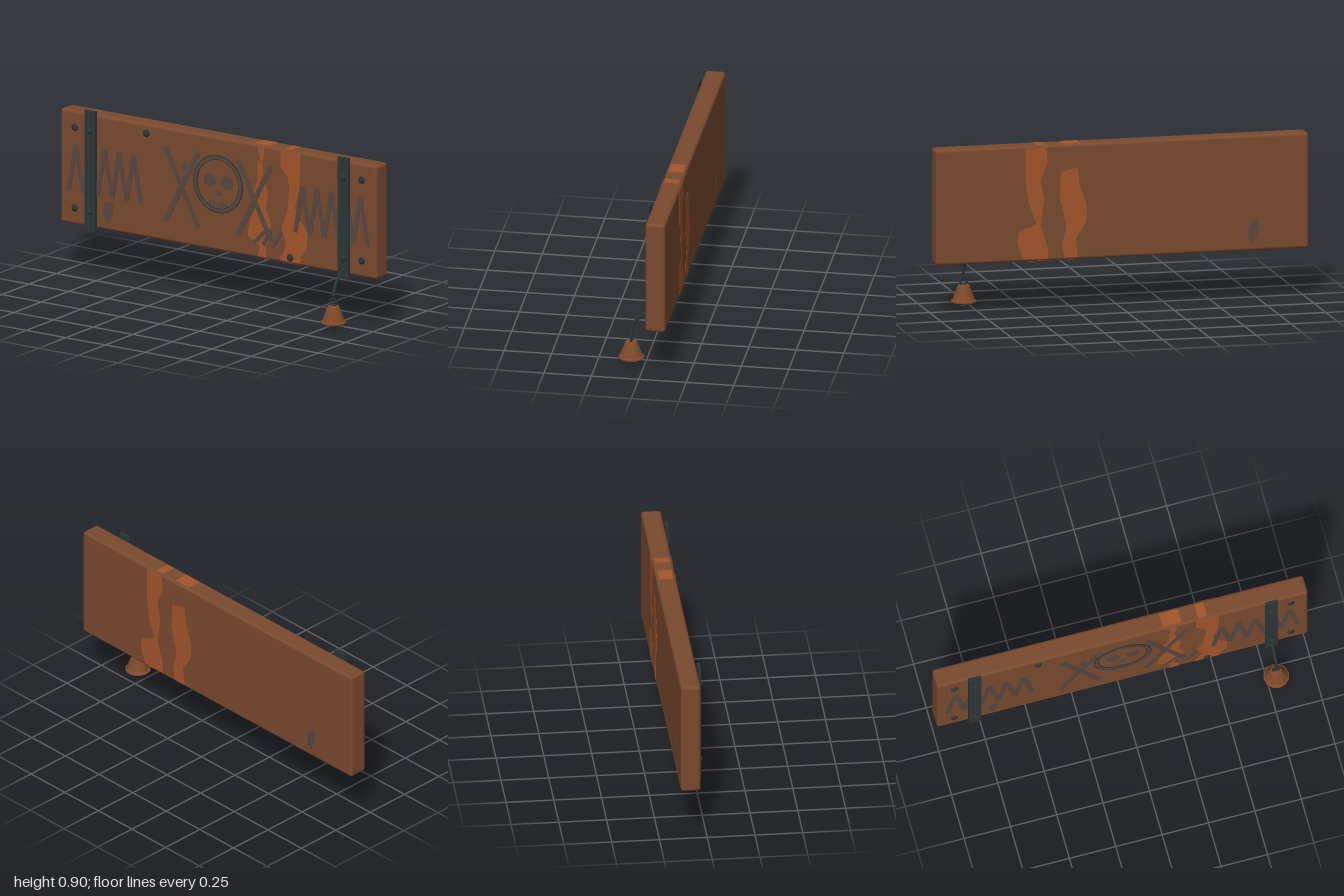
import * as THREE from 'three';
import { RoundedBoxGeometry } from 'three/addons/geometries/RoundedBoxGeometry.js';

const mat = (name, color, side = THREE.FrontSide) => {
  const m = new THREE.MeshStandardMaterial({ color, side });
  m.name = name;
  return m;
};

export function createModel() {
  const wood = mat('wood', 0x7a4a2f);
  const rust = mat('rust stain', 0xa3552c);
  const carve = mat('carving', 0x57473f);
  const iron = mat('iron', 0x2c3637);
  const bellMetal = mat('bell metal', 0x7f4a2b, THREE.DoubleSide);

  const model = new THREE.Group();
  model.name = 'hangingSign';
  const FRONT = -0.033, BACK = -0.138, TOP = 0.885, BOTTOM = 0.272;
  const MID_Z = (FRONT + BACK) / 2, MID_Y = (TOP + BOTTOM) / 2;

  const add = (name, geo, material, x = 0, y = 0, z = 0, parent = model) => {
    const mesh = new THREE.Mesh(geo, material);
    mesh.name = name;
    mesh.position.set(x, y, z);
    parent.add(mesh);
    return mesh;
  };
  const group = (name) => {
    const g = new THREE.Group();
    g.name = name;
    model.add(g);
    return g;
  };

  // Board
  add('board', new RoundedBoxGeometry(2, TOP - BOTTOM, FRONT - BACK, 2, 0.016), wood, 0, MID_Y, MID_Z);

  // Thin irregular patches lying on the front or back of the board
  const patch = (name, points, material, z) => {
    const shape = new THREE.Shape(points.map(([x, y]) => new THREE.Vector2(x, y)));
    add(name, new THREE.ExtrudeGeometry(shape, { depth: 0.004, bevelEnabled: false }), material, 0, 0, z - 0.002);
  };
  const T = TOP - 0.012, B = BOTTOM + 0.012;
  patch('frontStainTop', [[0.25, T], [0.29, T], [0.29, 0.82], [0.27, 0.79], [0.255, 0.83]], rust, FRONT - 0.001);
  patch('frontStainInner', [[0.25, 0.8], [0.28, 0.78], [0.29, 0.7], [0.315, 0.63], [0.3, 0.55], [0.335, 0.47],
    [0.32, 0.37], [0.3, 0.34], [0.305, B], [0.25, B], [0.26, 0.34], [0.185, 0.385], [0.2, 0.47], [0.24, 0.54],
    [0.22, 0.62], [0.25, 0.7]], rust, FRONT - 0.001);
  patch('frontStainOuter', [[0.395, T], [0.52, T], [0.515, 0.72], [0.505, 0.64], [0.485, 0.58], [0.51, 0.52],
    [0.565, 0.46], [0.56, 0.37], [0.525, 0.32], [0.52, B], [0.39, B], [0.43, 0.38], [0.4, 0.45], [0.435, 0.55],
    [0.45, 0.68], [0.44, 0.74], [0.395, 0.79]], rust, FRONT - 0.001);
  patch('backStainOuter', [[0.52, T], [0.41, T], [0.4, 0.8], [0.44, 0.7], [0.42, 0.6], [0.44, 0.46], [0.4, 0.34],
    [0.4, B], [0.53, B], [0.565, 0.37], [0.555, 0.43], [0.46, 0.47], [0.5, 0.57], [0.52, 0.7]], rust, BACK + 0.001);
  patch('backStainInner', [[0.33, 0.74], [0.24, 0.76], [0.23, 0.67], [0.19, 0.55], [0.195, 0.47], [0.25, 0.38],
    [0.24, B], [0.31, B], [0.325, 0.35], [0.3, 0.45], [0.335, 0.6]], rust, BACK + 0.001);
  patch('frontScuff', [[-0.72, 0.42], [-0.67, 0.42], [-0.67, 0.37], [-0.69, 0.31], [-0.71, 0.32], [-0.73, 0.37]], carve, FRONT - 0.001);
  patch('smallScuff', [[-0.23, 0.7], [-0.21, 0.73], [-0.2, 0.68], [-0.22, 0.65]], carve, FRONT - 0.001);
  patch('backScuff', [[-0.725, 0.45], [-0.675, 0.4], [-0.675, 0.34], [-0.7, 0.31], [-0.73, 0.38]], carve, BACK + 0.001);

  // Stains continuing over the upper and lower edges
  for (const [x0, x1, y] of [[0.22, 0.32, TOP], [0.41, 0.46, TOP], [0.25, 0.305, BOTTOM], [0.39, 0.52, BOTTOM]]) {
    add('edgeStain', new THREE.BoxGeometry(x1 - x0, 0.003, FRONT - BACK - 0.028), rust, (x0 + x1) / 2, y, MID_Z);
  }

  // Gouged strokes on the front
  const carvings = group('carvings');
  const stroke = (name, x0, y0, x1, y1, width = 0.028) => {
    const length = Math.hypot(x1 - x0, y1 - y0);
    const m = add(name, new THREE.BoxGeometry(length, width, 0.008), carve, (x0 + x1) / 2, (y0 + y1) / 2, FRONT - 0.0005, carvings);
    m.rotation.z = Math.atan2(y1 - y0, x1 - x0);
  };
  for (const start of [-0.945, 0.488]) {
    for (let i = 0; i < 5; i++) {
      const x = start + i * 0.0915;
      stroke('zigzagStroke', x, 0.45, x + 0.045, 0.705, 0.024);
      stroke('zigzagStroke', x + 0.045, 0.705, x + 0.0915, 0.45, 0.024);
    }
  }
  for (const x of [-0.23, 0.23]) {
    for (const s of [-1, 1]) stroke('crossStroke', x - s * 0.105, 0.38, x + s * 0.105, 0.785);
  }
  for (const [x0, y0, x1, y1] of [[0.225, 0.35, 0.31, 0.435], [0.285, 0.35, 0.335, 0.44], [0.345, 0.345, 0.4, 0.44]]) {
    stroke('scratch', x0, y0, x1, y1, 0.022);
  }

  // Skull emblem: ring, eyes, nose and teeth
  const emblem = group('skullEmblem');
  emblem.position.set(0, 0.633, FRONT - 0.004);
  const disc = (r, inner = 0) => {
    const s = new THREE.Shape().absarc(0, 0, r, 0, Math.PI * 2);
    if (inner) s.holes.push(new THREE.Path().absarc(0, 0, inner, 0, Math.PI * 2, true));
    return new THREE.ExtrudeGeometry(s, { depth: 0.008, bevelEnabled: false, curveSegments: 32 });
  };
  add('emblemRing', disc(0.15, 0.134), carve, 0, 0, 0, emblem);
  add('emblemOuterLine', disc(0.156, 0.15), iron, 0, 0, 0, emblem);
  add('emblemInnerLine', disc(0.134, 0.13), iron, 0, 0, 0, emblem);
  for (const s of [-1, 1]) add('eyeSocket', disc(0.036), carve, s * 0.054, 0.015, 0, emblem);
  add('nose', disc(0.017), carve, 0, -0.05, 0, emblem);
  stroke('mouth', -0.06, 0.523, 0.06, 0.523, 0.014);
  for (let i = -2; i <= 2; i++) {
    const w = i % 2 ? 0.014 : -0.014;
    stroke('tooth', i * 0.026, 0.523 - w, i * 0.026, 0.523 + w * 1.5, 0.013);
  }

  // Iron straps and domed rivets
  const rivet = new THREE.SphereGeometry(1, 10, 6);
  const addRivet = (name, x, y, z, r, depth) => add(name, rivet, iron, x, y, z).scale.set(r, r, depth);
  for (const s of [-1, 1]) {
    add('strap', new THREE.BoxGeometry(0.068, 0.65, 0.016), iron, s * 0.8, 0.58, -0.024);
    for (const y of [0.797, 0.362]) {
      addRivet('strapRivet', s * 0.8, y, -0.016, 0.018, 0.015);
      addRivet('cornerRivet', s * 0.907, y, FRONT, 0.02, 0.012);
    }
  }
  addRivet('boardRivet', -0.455, 0.835, FRONT, 0.021, 0.012);
  addRivet('boardRivet', 0.455, 0.308, FRONT, 0.021, 0.012);

  // Bent wire holding the bell
  const wire = new THREE.CurvePath();
  const bends = [[-0.022, 0.305], [0.025, 0.27], [0.061, 0.225], [0.071, 0.178]].map(([z, y]) => new THREE.Vector3(0.8, y, z));
  for (let i = 0; i < 3; i++) wire.add(new THREE.LineCurve3(bends[i], bends[i + 1]));
  add('bellWire', new THREE.TubeGeometry(wire, 18, 0.008, 8), iron);

  // Bell with loop and clapper
  const bell = group('bell');
  bell.position.set(0.8, 0, 0.071);
  const profile = [[0, 0.127], [0.027, 0.127], [0.032, 0.121], [0.06, 0.047], [0.068, 0.042], [0.068, 0.035],
    [0.063, 0.031], [0.056, 0.034], [0.026, 0.115], [0, 0.115]].reverse();
  const bellGeo = new THREE.LatheGeometry(profile.map(([r, y]) => new THREE.Vector2(r, y)), 12).toNonIndexed();
  bellGeo.computeVertexNormals();
  add('bellBody', bellGeo, bellMetal, 0, 0, 0, bell);
  add('bellLoop', new THREE.TorusGeometry(0.019, 0.006, 6, 16), iron, 0, 0.145, 0, bell);
  add('clapperRod', new THREE.CylinderGeometry(0.005, 0.005, 0.095, 6), iron, 0, 0.068, 0, bell);
  add('clapper', new THREE.SphereGeometry(0.016, 12, 8), iron, 0, 0.016, 0, bell);

  return model;
}
